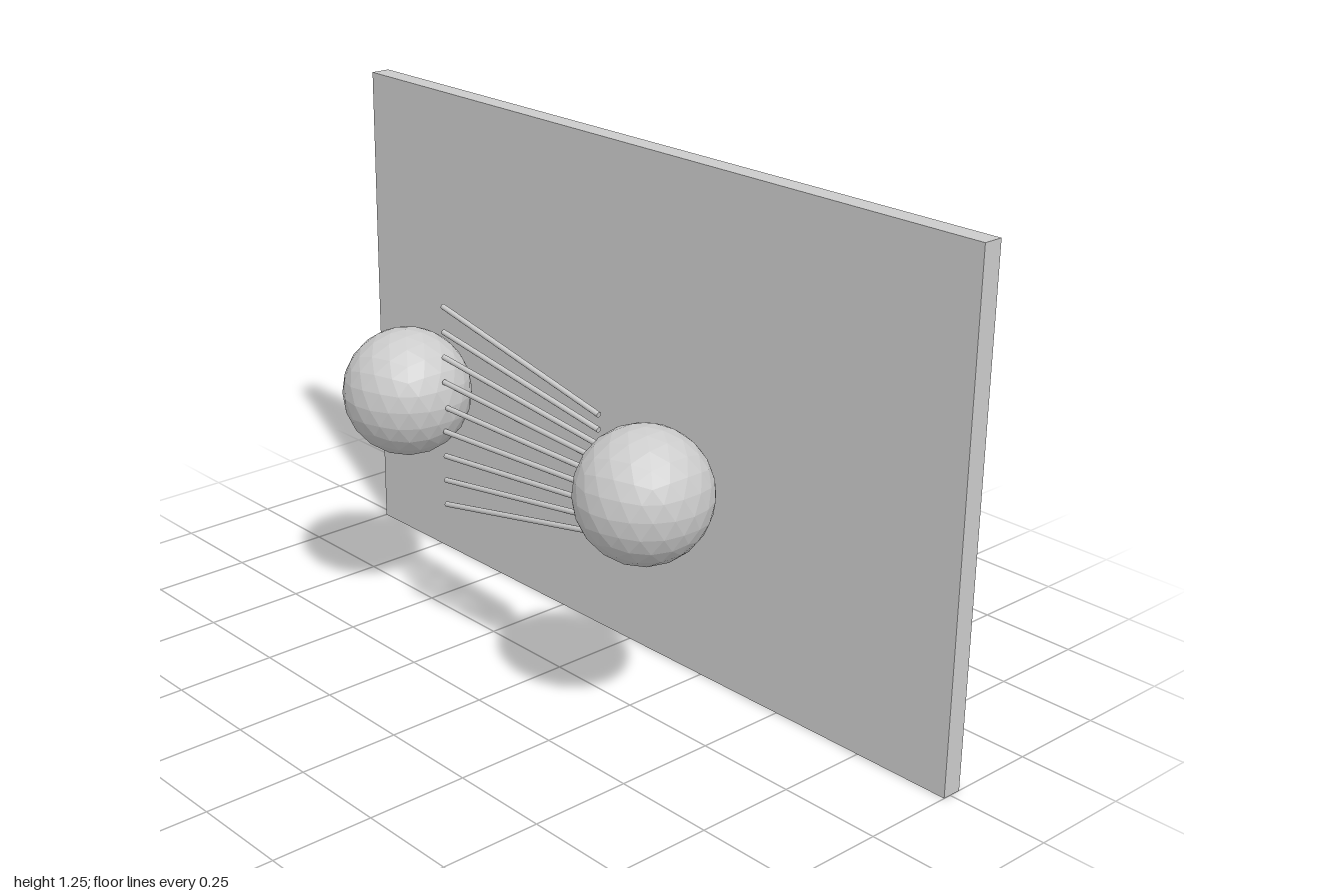
import * as THREE from 'three';

const CENTER_Y = 0.625;
const FRONT_Z = 0.123;

export function createModel() {
  const group = new THREE.Group();
  const smooth = new THREE.MeshStandardMaterial({ color: 0xcccccc });
  const faceted = new THREE.MeshStandardMaterial({ color: 0xcccccc, flatShading: true });

  const add = (name, geometry, material) => {
    const mesh = new THREE.Mesh(geometry, material);
    mesh.name = name;
    group.add(mesh);
    return mesh;
  };

  // Upright back panel
  add('backPanel', new THREE.BoxGeometry(2, 1.25, 0.05), faceted).position.set(0, 0.625, -0.255);

  // Two faceted balls, each turned so a vertex points straight up
  const ballGeometry = new THREE.IcosahedronGeometry(0.156, 3);
  ballGeometry.rotateZ(Math.atan(2 / (1 + Math.sqrt(5))));
  for (const side of [-1, 1]) {
    const ball = add(side > 0 ? 'leftBall' : 'rightBall', ballGeometry, faceted);
    ball.position.set(side * 0.416, CENTER_Y, FRONT_Z);
  }

  // Fan of thin rods, wide at -x and narrowing towards +x
  const up = new THREE.Vector3(0, 1, 0);
  for (let i = -4; i <= 4; i++) {
    const start = new THREE.Vector3(-0.271, CENTER_Y + i * 0.0625, FRONT_Z);
    const end = new THREE.Vector3(0.271, CENTER_Y + i * 0.035, FRONT_Z);
    const direction = end.clone().sub(start);
    const length = direction.length();
    const rod = add(`rod${i + 5}`, new THREE.CylinderGeometry(0.0065, 0.0065, length, 12), smooth);
    rod.position.copy(start).add(end).multiplyScalar(0.5);
    rod.quaternion.setFromUnitVectors(up, direction.normalize());
  }

  return group;
}
